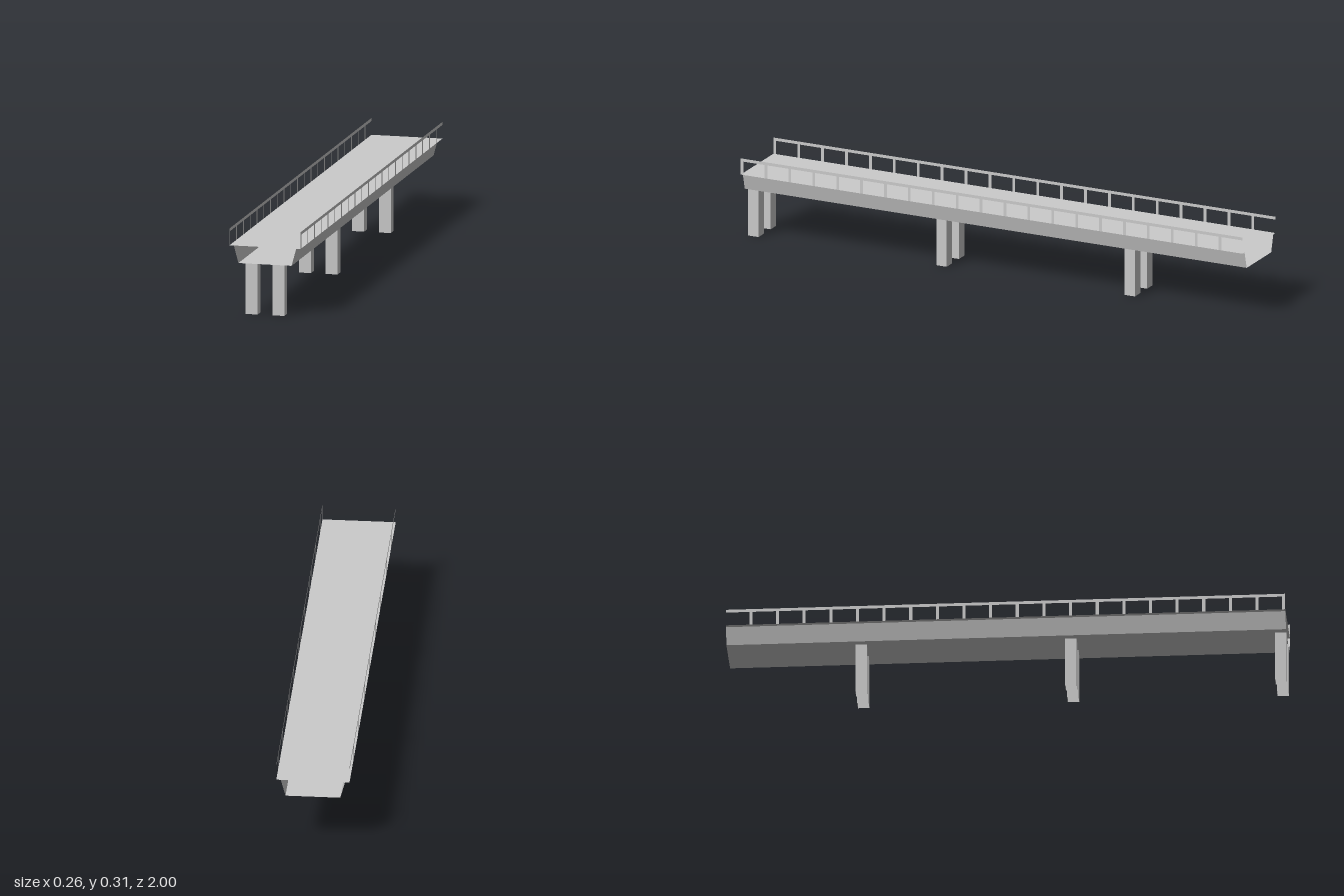
import * as THREE from 'three';

const LENGTH = 2, HALF = 0.131;          // deck length and half width
const Y_BOTTOM = 0.184, Y_DECK = 0.247, Y_RAIL = 0.308;

export function createModel() {
  const model = new THREE.Group();
  model.name = 'bridge';
  const material = new THREE.MeshStandardMaterial({
    color: 0xcccccc, flatShading: true, side: THREE.DoubleSide,
  });

  function add(parent, name, geometry, x, y, z) {
    const mesh = new THREE.Mesh(geometry, material);
    mesh.name = name;
    mesh.position.set(x, y, z);
    parent.add(mesh);
    return mesh;
  }

  // Sheet running the full length, spanning from a to b in the cross-section
  function addSheet(name, ax, ay, bx, by) {
    const sheet = new THREE.PlaneGeometry(Math.hypot(bx - ax, by - ay), LENGTH);
    sheet.rotateX(-Math.PI / 2);
    sheet.rotateZ(Math.atan2(by - ay, bx - ax));
    add(model, name, sheet, (ax + bx) / 2, (ay + by) / 2, 0);
  }

  // Hollow girder, open at both ends, with the road overhanging its walls
  const wallTop = 0.115, wallBottom = 0.098;
  addSheet('roadDeck', -HALF, Y_DECK, HALF, Y_DECK);
  addSheet('girderFloor', wallBottom, Y_BOTTOM, -wallBottom, Y_BOTTOM);
  addSheet('leftGirderWall', wallTop, Y_DECK, wallBottom, Y_BOTTOM);
  addSheet('rightGirderWall', -wallBottom, Y_BOTTOM, -wallTop, Y_DECK);

  // Flat railings: one top rail and evenly spaced posts, last bay left open
  const bays = 21, postWidth = 0.011, railHeight = 0.011;
  const postHeight = Y_RAIL - railHeight - Y_DECK;
  for (const side of [1, -1]) {
    const railing = new THREE.Group();
    railing.name = side > 0 ? 'leftRailing' : 'rightRailing';
    model.add(railing);
    const turn = side * Math.PI / 2;
    add(railing, 'topRail', new THREE.PlaneGeometry(LENGTH, railHeight).rotateY(turn),
      side * HALF, Y_RAIL - railHeight / 2, 0);
    const post = new THREE.PlaneGeometry(postWidth, postHeight).rotateY(turn);
    for (let i = 0; i < bays; i++) {
      add(railing, 'railingPost', post, side * HALF, Y_DECK + postHeight / 2,
        1 - i * LENGTH / bays - postWidth / 2);
    }
  }

  // Pairs of square, open-ended piers
  const pierWidth = 0.044, pierDepth = 0.041;
  const pier = new THREE.CylinderGeometry(Math.SQRT1_2, Math.SQRT1_2, Y_BOTTOM, 4, 1, true);
  pier.rotateY(Math.PI / 4);
  pier.scale(pierWidth, 1, pierDepth);
  for (const front of [1, 0.25, -0.5]) {
    for (const side of [1, -1]) {
      add(model, side > 0 ? 'leftPier' : 'rightPier', pier,
        side * 0.049, Y_BOTTOM / 2, front - pierDepth / 2);
    }
  }

  return model;
}
